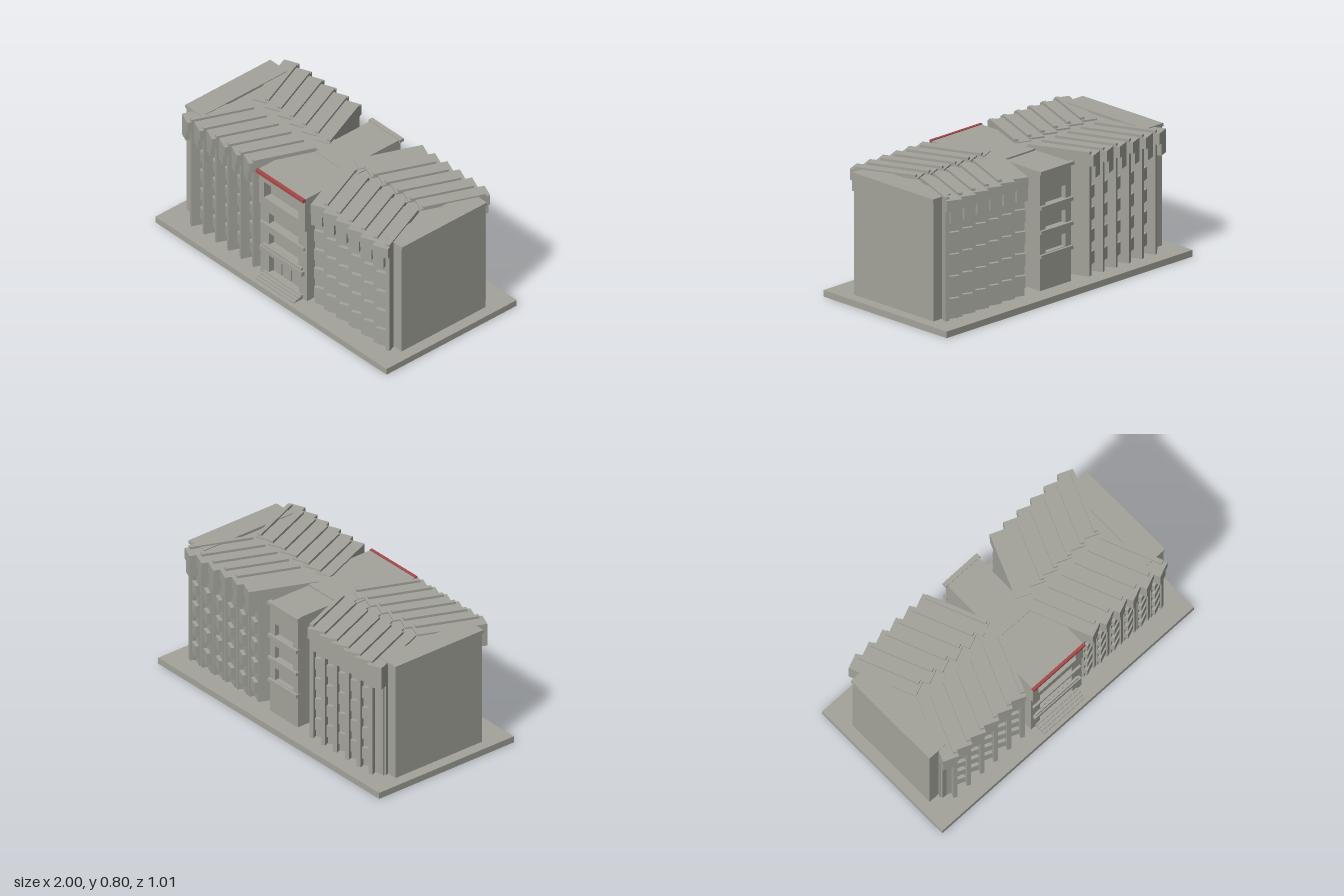
import * as THREE from 'three';

export function createModel() {
  const model = new THREE.Group();
  model.name = 'building';
  const concrete = new THREE.MeshStandardMaterial({ color: 0xa3a39b });
  concrete.name = 'concrete grey';
  const red = new THREE.MeshStandardMaterial({ color: 0xa84a4a });
  red.name = 'trim red';

  // Box given by its min and max on each axis
  function box(parent, name, x0, x1, y0, y1, z0, z1, mat = concrete) {
    const geo = new THREE.BoxGeometry(Math.abs(x1 - x0), y1 - y0, Math.abs(z1 - z0));
    const mesh = new THREE.Mesh(geo, mat);
    mesh.position.set((x0 + x1) / 2, (y0 + y1) / 2, (z0 + z1) / 2);
    mesh.name = name;
    parent.add(mesh);
    return mesh;
  }

  // Upright wall with rectangular openings [x0, x1, y0, y1]
  function piercedWall(parent, name, x0, x1, y0, y1, z, depth, openings) {
    const rect = (path, a, b, c, d) => {
      path.moveTo(a, c); path.lineTo(b, c); path.lineTo(b, d); path.lineTo(a, d); path.closePath();
      return path;
    };
    const shape = rect(new THREE.Shape(), x0, x1, y0, y1);
    openings.forEach((o) => shape.holes.push(rect(new THREE.Path(), ...o)));
    const geo = new THREE.ExtrudeGeometry(shape, { depth, bevelEnabled: false });
    const mesh = new THREE.Mesh(geo, concrete);
    mesh.position.z = z;
    mesh.name = name;
    parent.add(mesh);
  }

  const G = 0.04; // ground level on the plinth
  box(model, 'plinth', -1, 1, 0, G, -0.505, 0.505);

  // Sawtooth wings: rotated bays stepping along x
  const angle = THREE.MathUtils.degToRad(22.5);
  const pitch = 0.107;
  const width = pitch * Math.cos(angle);
  const setback = 0.058;
  const depth = 0.425;
  const roofY = 0.785;

  function bay(sx, sz, k) {
    const g = new THREE.Group();
    g.name = 'bay';
    g.position.set(sx * (0.80 - pitch * k), 0, sz * 0.435);
    g.rotation.y = Math.atan2(sx * Math.sin(angle), sz * Math.cos(angle));
    const m = sx * sz; // outward direction along the local x axis
    const part = (name, u0, u1, y0, y1, v0, v1) => box(g, name, m * u0, m * u1, y0, y1, v0, v1);

    part('bayWall', 0, width, G, 0.715, -depth, -setback);
    part('bayRoof', 0, width, 0.715, roofY, -depth, 0);

    // Pilaster and roof fin sit on the same edge of every bay
    const right = sx > 0;
    const p0 = right ? width - 0.026 : 0;
    const p1 = p0 + 0.026;
    part('pilaster', p0, p1, G, 0.715, -setback, -0.025);
    if (!(right && sz < 0 && k === 5)) part('roofFin', p0, p1, roofY, 0.8, -0.41, -0.025);

    // Upper projecting box, then window boxes on each floor
    const w0 = right ? 0.004 : 0.03;
    const w1 = w0 + 0.068;
    part('upperBox', w0, w1, 0.64, 0.715, -setback, 0);
    if (right || k > 0) {
      for (let f = 0; f < 4; f++) {
        const y = 0.095 + 0.135 * f;
        part('windowBox', w0, w1, y, y + 0.075, -setback, -setback + 0.022);
      }
    }
    model.add(g);
  }
  for (const sx of [-1, 1]) for (const sz of [-1, 1]) for (let k = 0; k < 6; k++) bay(sx, sz, k);

  // End walls and the solid spine between the wings
  for (const s of [-1, 1]) {
    box(model, 'endWall', s * 0.78, s * 0.93, G, 0.77, -0.325, 0.325);
    box(model, 'endCap', s * 0.79, s * 0.937, 0.77, 0.79, -0.33, 0.33);
    box(model, 'endReturn', s * (s < 0 ? 0.77 : 0.845), s * 0.86, G, 0.77, -0.36, 0.36);
    box(model, 'spine', s * 0.2, s * 0.8, G, 0.775, -0.25, 0.25);
  }
  const core = new THREE.Shape([
    [-0.22, -0.08], [-0.09, -0.06], [0.0, -0.065], [0.1, -0.065], [0.22, -0.03],
    [0.22, 0.07], [0.1, 0.105], [-0.1, 0.105], [-0.22, 0.07],
  ].map(([x, y]) => new THREE.Vector2(x, y)));
  const coreMesh = new THREE.Mesh(
    new THREE.ExtrudeGeometry(core, { depth: 0.78 - G, bevelEnabled: false }), concrete);
  coreMesh.rotation.x = -Math.PI / 2;
  coreMesh.position.y = G;
  coreMesh.name = 'centralCore';
  model.add(coreMesh);

  // Front entrance block
  const front = new THREE.Group();
  front.name = 'entranceBlock';
  model.add(front);
  box(front, 'entranceBody', -0.2, 0.2, G, 0.76, 0, 0.365);
  piercedWall(front, 'entranceFacade', -0.2, 0.2, G, 0.76, 0.365, 0.04, [
    [-0.155, 0.145, 0.60, 0.71], [-0.13, 0.125, 0.415, 0.495],
    [-0.13, 0.125, 0.265, 0.35], [-0.13, 0.13, 0.065, 0.213],
  ]);
  piercedWall(front, 'upperFrame', -0.2, 0.2, 0.54, 0.76, 0.405, 0.015, [[-0.155, 0.145, 0.60, 0.71]]);
  box(front, 'entranceRoof', -0.205, 0.2, 0.755, 0.775, 0.05, 0.425);
  box(front, 'redTrim', -0.21, 0.203, 0.758, 0.78, 0.42, 0.438, red);
  for (const y of [0.395, 0.54]) box(front, 'ledge', -0.19, 0.185, y, y + 0.02, 0.38, 0.42);
  box(front, 'canopy', -0.185, 0.18, 0.215, 0.245, 0.38, 0.428);
  box(front, 'canopyTop', -0.17, 0.165, 0.245, 0.262, 0.38, 0.42);

  // Doors and steps
  for (const x of [-0.115, -0.035, 0.045]) box(front, 'door', x, x + 0.06, 0.07, 0.19, 0.365, 0.373);
  box(front, 'doorLintel', -0.13, 0.13, 0.195, 0.213, 0.365, 0.385);
  for (let i = 0; i < 4; i++) {
    box(front, 'step', -0.165, 0.165, G, 0.047 + i * 0.007, 0.38, 0.478 - i * 0.02);
  }

  // Rear stair block
  const rear = new THREE.Group();
  rear.name = 'rearBlock';
  model.add(rear);
  box(rear, 'rearBody', -0.125, 0.125, G, 0.77, -0.36, -0.05);
  piercedWall(rear, 'rearFacade', -0.125, 0.125, G, 0.77, -0.39, 0.03,
    [0.265, 0.41, 0.56].map((y) => [-0.08, 0.08, y, y + 0.08]));
  box(rear, 'rearParapet', -0.138, 0.135, 0.755, 0.775, -0.405, -0.375);
  for (const y of [0.24, 0.388, 0.538]) box(rear, 'rearLedge', -0.13, 0.13, y, y + 0.022, -0.407, -0.375);

  return model;
}
